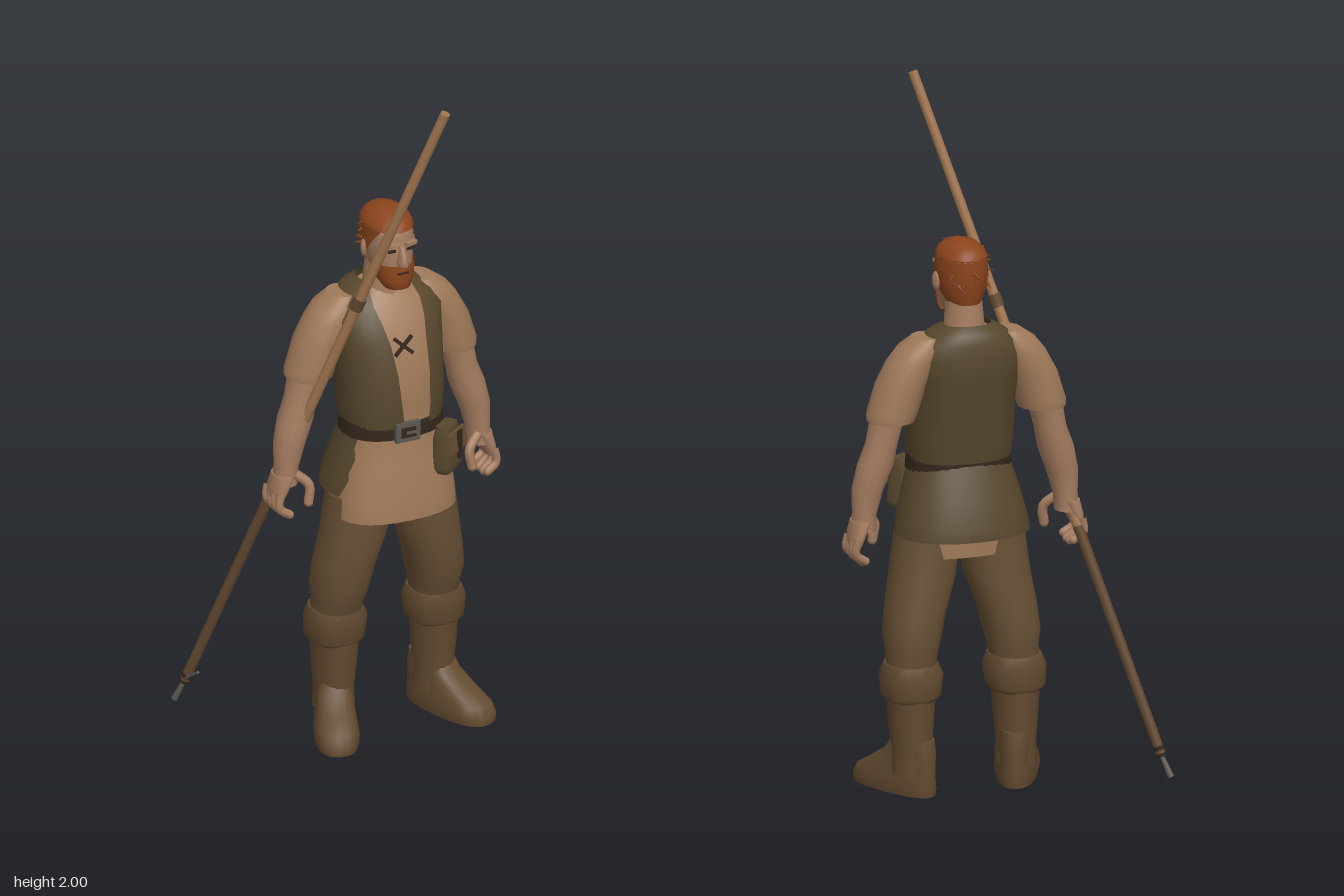
import * as THREE from 'three';

const mat = (name, color, double) => {
  const m = new THREE.MeshStandardMaterial({ color });
  m.name = name;
  if (double) m.side = THREE.DoubleSide;
  return m;
};

// Skin over horizontal oval rings, bottom to top: [y, rx, rz, cx, cz, startAngle, endAngle].
// Angle 0 faces +z; rings without angles are closed and capped. e below 1 gives boxier ovals.
function loft(rings, n = 20, e = 1) {
  const pos = [], idx = [], open = rings[0].length > 5, cols = open ? n + 1 : n;
  const pw = v => Math.sign(v) * Math.pow(Math.abs(v), e);
  const addRing = ([y, rx, rz, cx = 0, cz = 0, a0 = 0, a1 = Math.PI * 2]) => {
    for (let i = 0; i < cols; i++) {
      const a = a0 + (a1 - a0) * i / n;
      pos.push(cx + rx * pw(Math.sin(a)), y, cz + rz * pw(Math.cos(a)));
    }
  };
  rings.forEach(addRing);
  for (let j = 0; j < rings.length - 1; j++) {
    for (let i = 0; i < n; i++) {
      const k = (i + 1) % cols, a = j * cols + i, b = j * cols + k;
      idx.push(a, b, b + cols, a, b + cols, a + cols);
    }
  }
  if (!open) {
    [rings[0], rings[rings.length - 1]].forEach((r, top) => {
      const s = pos.length / 3;
      addRing(r);
      pos.push(r[3] || 0, r[0], r[4] || 0);
      for (let i = 0; i < n; i++) {
        const k = (i + 1) % n;
        if (top) idx.push(s + n, s + i, s + k);
        else idx.push(s + n, s + k, s + i);
      }
    });
  }
  const g = new THREE.BufferGeometry();
  g.setAttribute('position', new THREE.Float32BufferAttribute(pos, 3));
  g.setIndex(idx);
  g.computeVertexNormals();
  return g;
}

const V = p => new THREE.Vector3(...p);

// Tapered rod between two points
function rod(a, b, ra, rb, sides = 10) {
  const A = V(a), B = V(b), d = B.clone().sub(A);
  const g = new THREE.CylinderGeometry(rb, ra, d.length(), sides);
  g.applyQuaternion(new THREE.Quaternion().setFromUnitVectors(new THREE.Vector3(0, 1, 0), d.normalize()));
  const c = A.add(B).multiplyScalar(0.5);
  return g.translate(c.x, c.y, c.z);
}

export function createModel() {
  const model = new THREE.Group(), body = new THREE.Group();
  model.name = 'villager';
  body.name = 'body';
  body.position.x = 0.09;
  model.add(body);

  const skin = mat('skin', 0xa57c60), linen = mat('linen', 0xa07a5a);
  const vest = mat('vestLeather', 0x57472d, true), trousers = mat('trousers', 0x664f34);
  const boots = mat('boots', 0x624a30), hair = mat('hair', 0x8c451d, true);
  const metal = mat('metal', 0x5c5853), wood = mat('wood', 0xa0744e);
  const darkWood = mat('darkWood', 0x614730), dark = mat('darkLeather', 0x33271c);

  const add = (name, geo, m, parent = body) => {
    const mesh = new THREE.Mesh(geo, m);
    mesh.name = name;
    parent.add(mesh);
    return mesh;
  };
  const box = (name, w, h, d, x, y, z, m, parent) => {
    const b = add(name, new THREE.BoxGeometry(w, h, d), m, parent);
    b.position.set(x, y, z);
    return b;
  };

  // Shirt and its skirt
  add('shirt', loft([
    [0.68, 0.18, 0.12, 0, 0.03], [0.74, 0.176, 0.12, 0, 0.028], [0.85, 0.155, 0.113, 0, 0.018],
    [0.95, 0.137, 0.103, 0, 0.01], [1.02, 0.137, 0.118, 0, 0.005], [1.12, 0.142, 0.12, 0, -0.005],
    [1.21, 0.145, 0.118, 0, -0.025], [1.28, 0.14, 0.1, 0, -0.04], [1.32, 0.1, 0.078, 0, -0.05],
    [1.345, 0.062, 0.058, 0, -0.05]], 28, 0.85), linen);

  // Open vest and the tail below the belt
  const T = Math.PI * 2;
  add('vest', loft([
    [0.96, 0.146, 0.122, 0, 0.006, 0.4, T - 0.06], [1.02, 0.152, 0.13, 0, 0.003, 0.4, T - 0.1],
    [1.12, 0.153, 0.132, 0, -0.004, 0.4, T - 0.16], [1.21, 0.16, 0.13, 0, -0.025, 0.38, T - 0.22],
    [1.27, 0.166, 0.118, 0, -0.037, 0.4, T - 0.3], [1.31, 0.145, 0.1, 0, -0.05, 0.5, T - 0.42],
    [1.34, 0.105, 0.082, 0, -0.06, 0.65, T - 0.6], [1.36, 0.068, 0.055, 0, -0.06, 0.9, T - 0.9]], 32, 0.85), vest);
  add('vestTail', loft([
    [0.745, 0.193, 0.147, 0, -0.02, 1.15, T - 1.15], [0.78, 0.188, 0.146, 0, -0.018, 1.05, T - 1.05],
    [0.86, 0.168, 0.132, 0, -0.008, 0.85, T - 0.85], [0.95, 0.142, 0.11, 0, 0.005, 0.6, T - 0.6]], 28, 0.9), vest);

  // Crossed lacing
  for (const s of [-1, 1]) {
    const lace = box('lacing', 0.075, 0.01, 0.006, -0.003, 1.2, 0.099, dark);
    lace.rotation.set(-0.15, 0, s * 0.75);
  }

  // Belt, buckle and pouch
  add('belt', loft([[0.925, 0.15, 0.116, 0, 0.01], [0.967, 0.147, 0.115, 0, 0.01]], 28, 0.85), dark);
  box('buckle', 0.075, 0.058, 0.014, -0.005, 0.948, 0.128, metal);
  box('buckleInset', 0.045, 0.03, 0.004, -0.005, 0.948, 0.136, dark);
  box('buckleTongue', 0.035, 0.008, 0.006, 0.005, 0.948, 0.138, metal);
  const pouch = new THREE.Group();
  pouch.name = 'pouch';
  pouch.position.set(0.127, 0.865, 0.107);
  pouch.rotation.y = 0.65;
  body.add(pouch);
  add('pouchBag', loft([[-0.07, 0.043, 0.024], [-0.05, 0.052, 0.032], [0.04, 0.044, 0.026], [0.07, 0.036, 0.02]], 16, 0.45), vest, pouch);
  const flap = box('pouchFlap', 0.096, 0.06, 0.01, 0, 0.025, 0.033, trousers, pouch);
  flap.rotation.x = -0.12;
  box('pouchStrap', 0.016, 0.085, 0.008, 0, 0.015, 0.041, dark, pouch);

  // Legs, boots, arms and hands
  for (const s of [-1, 1]) {
    const side = s > 0 ? 'left' : 'right';
    add(side + 'TrouserLeg', loft([
      [0.34, 0.07, 0.07, s * 0.155, -0.028], [0.4, 0.07, 0.082, s * 0.15, -0.022], [0.45, 0.08, 0.096, s * 0.147, -0.015],
      [0.52, 0.085, 0.094, s * 0.135, -0.008], [0.62, 0.094, 0.093, s * 0.11, 0.002], [0.74, 0.094, 0.085, s * 0.095, 0.004]], 18, 0.9), trousers);
    add(side + 'BootCuff', loft([
      [0.27, 0.066, 0.072, s * 0.155, -0.032], [0.285, 0.083, 0.084, s * 0.155, -0.03], [0.345, 0.088, 0.087, s * 0.153, -0.028],
      [0.375, 0.074, 0.08, s * 0.153, -0.026]], 16, 0.85), boots);
    add(side + 'BootShaft', loft([
      [0.06, 0.058, 0.072, s * 0.155, -0.035], [0.13, 0.056, 0.07, s * 0.155, -0.035], [0.2, 0.063, 0.074, s * 0.155, -0.032],
      [0.3, 0.07, 0.077, s * 0.155, -0.03]], 16), boots);
    const footGeo = loft([
      [0, 0.058, 0.15, 0, 0.065], [0.022, 0.062, 0.153, 0, 0.065], [0.05, 0.06, 0.143, 0, 0.058],
      [0.085, 0.055, 0.112, 0, 0.028], [0.12, 0.054, 0.083, 0, 0], [0.16, 0.05, 0.066, 0, -0.01]], 20, 0.8);
    const p = footGeo.attributes.position;
    for (let i = 0; i < p.count; i++) p.setX(i, p.getX(i) * (0.94 + 1.1 * p.getZ(i)));
    footGeo.computeVertexNormals();
    const foot = add(side + 'Foot', footGeo, boots);
    foot.position.set(s * 0.155, 0, -0.035);
    foot.rotation.y = s * 0.38;

    add(side + 'Sleeve', loft([
      [1.095, 0.068, 0.072, s * 0.224, -0.055], [1.115, 0.072, 0.075, s * 0.22, -0.055], [1.2, 0.073, 0.075, s * 0.193, -0.055],
      [1.26, 0.072, 0.074, s * 0.162, -0.055], [1.3, 0.062, 0.068, s * 0.14, -0.057], [1.33, 0.04, 0.048, s * 0.12, -0.058]], 16), linen);
    add(side + 'Arm', loft([
      [0.78, 0.035, 0.042, s * 0.302, -0.045], [0.83, 0.035, 0.038, s * 0.298, -0.045], [0.9, 0.046, 0.046, s * 0.288, -0.045],
      [0.97, 0.052, 0.052, s * 0.267, -0.05], [1.03, 0.046, 0.048, s * 0.25, -0.053], [1.12, 0.05, 0.054, s * 0.23, -0.055]], 14), skin);
    add(side + 'Palm', loft([
      [0.74, 0.016, 0.046, s * 0.33, -0.048], [0.77, 0.024, 0.05, s * 0.322, -0.046], [0.81, 0.032, 0.044, s * 0.306, -0.045]], 14), skin);
    const digit = (name, pts, r) => {
      const curve = new THREE.CatmullRomCurve3(pts.map(([x, y, z]) => new THREE.Vector3(s * x, y, z)));
      add(name, new THREE.TubeGeometry(curve, 8, r, 8), skin);
      add(name + 'Tip', new THREE.SphereGeometry(r, 8, 6).translate(s * pts[2][0], pts[2][1], pts[2][2]), skin);
    };
    for (let f = 0; f < 4; f++) {
      const z = -0.09 + f * 0.027;
      digit(side + 'Finger', [[0.332, 0.765, z], [0.337, 0.72, z + 0.004], [0.308, 0.69 + (f % 3 ? 0 : 0.008), z + 0.008]], 0.0125);
    }
    digit(side + 'Thumb', [[0.285, 0.815, -0.015], [0.25, 0.78, 0.004], [0.255, 0.73, 0.01]], 0.014);

    // Ear, eye and brow
    const ear = add(side + 'Ear', new THREE.SphereGeometry(0.022, 10, 8), skin);
    ear.scale.set(0.4, 1.25, 0.7);
    ear.rotation.y = s * 0.4;
    ear.position.set(s * 0.073, 1.473, -0.012);
    box(side + 'Eye', 0.022, 0.008, 0.006, s * 0.028, 1.488, 0.077, dark);
    const brow = box(side + 'Brow', 0.038, 0.01, 0.016, s * 0.03, 1.505, 0.079, skin);
    brow.rotation.y = s * 0.35;
  }

  // Neck, head and nose
  add('neck', loft([[1.29, 0.075, 0.07, 0, -0.035], [1.33, 0.058, 0.062, 0, -0.04], [1.43, 0.05, 0.056, 0, -0.035]], 16), skin);
  add('head', loft([
    [1.372, 0.03, 0.034, 0, 0.045], [1.39, 0.046, 0.056, 0, 0.026], [1.43, 0.057, 0.08, 0, 0.004], [1.47, 0.064, 0.09, 0, -0.008],
    [1.52, 0.066, 0.093, 0, -0.012], [1.555, 0.058, 0.082, 0, -0.014], [1.575, 0.035, 0.055, 0, -0.014]], 20, 0.92), skin);
  add('nose', loft([
    [1.44, 0.012, 0.016, 0, 0.084], [1.45, 0.017, 0.032, 0, 0.084], [1.475, 0.011, 0.02, 0, 0.083], [1.5, 0.008, 0.011, 0, 0.077]], 8), skin);

  // Beard, moustache and hair
  add('beard', loft([
    [1.363, 0.012, 0.014, 0, 0.062, -1.6, 1.6], [1.37, 0.038, 0.04, 0, 0.048, -1.6, 1.6], [1.395, 0.054, 0.062, 0, 0.028, -1.55, 1.55],
    [1.425, 0.062, 0.085, 0, 0.007, -1.45, 1.45], [1.443, 0.065, 0.09, 0, 0, -1.35, 1.35]], 18, 0.92), hair);
  box('mouth', 0.034, 0.005, 0.006, 0, 1.422, 0.091, dark);
  add('hairBack', loft([
    [1.415, 0.05, 0.075, 0, -0.022, 1.75, T - 1.75], [1.45, 0.067, 0.091, 0, -0.014, 1.6, T - 1.6],
    [1.5, 0.073, 0.1, 0, -0.014, 1.2, T - 1.2], [1.548, 0.069, 0.096, 0, -0.015, 0.75, T - 0.75]], 22), hair);
  add('hairTop', loft([
    [1.542, 0.07, 0.097, 0, -0.015], [1.562, 0.063, 0.087, 0, -0.016], [1.578, 0.046, 0.066, 0, -0.016], [1.586, 0.02, 0.032, 0, -0.016]], 22), hair);
  let seed = 7;
  const rnd = () => (seed = (seed * 16807) % 2147483647) / 2147483647;
  for (let i = 0; i < 54; i++) {
    const a = rnd() * T, back = Math.cos(a) < 0.3, up = back ? rnd() * 1.4 - 0.35 : 0.65 + rnd() * 0.7;
    const dir = [Math.sin(a) * Math.cos(up), Math.sin(up), Math.cos(a) * Math.cos(up)];
    const at = k => [dir[0] * 0.072 * k, 1.49 + dir[1] * 0.096 * k, -0.015 + dir[2] * 0.1 * k];
    const end = at(1.06);
    end[0] += (rnd() - 0.5) * 0.04;
    end[1] -= rnd() * 0.02;
    end[2] += (rnd() - 0.5) * 0.04;
    add('hairStrand', rod(at(0.98), end, 0.006, 0.001, 4), hair);
  }

  // Long pole with ferrule, spike and barb
  const at = y => { const t = (y - 0.11) / 1.885; return [-0.41 + 0.535 * t, y, -0.27 + 0.555 * t]; };
  add('poleUpper', rod(at(0.74), at(1.995), 0.0155, 0.014, 12), wood, model);
  add('poleLower', rod(at(0.11), at(0.74), 0.015, 0.0155, 12), darkWood, model);
  add('poleFerrule', rod(at(1.345), at(1.38), 0.019, 0.019, 12), darkWood, model);
  add('poleSocket', rod(at(0.1), at(0.13), 0.012, 0.017, 10), dark, model);
  add('poleSpike', rod([-0.433, 0.045, -0.292], at(0.11), 0.01, 0.006, 8), metal, model);
  add('poleBarb', rod([-0.415, 0.112, -0.27], [-0.402, 0.158, -0.205], 0.007, 0.004, 8), metal, model);
  return model;
}
